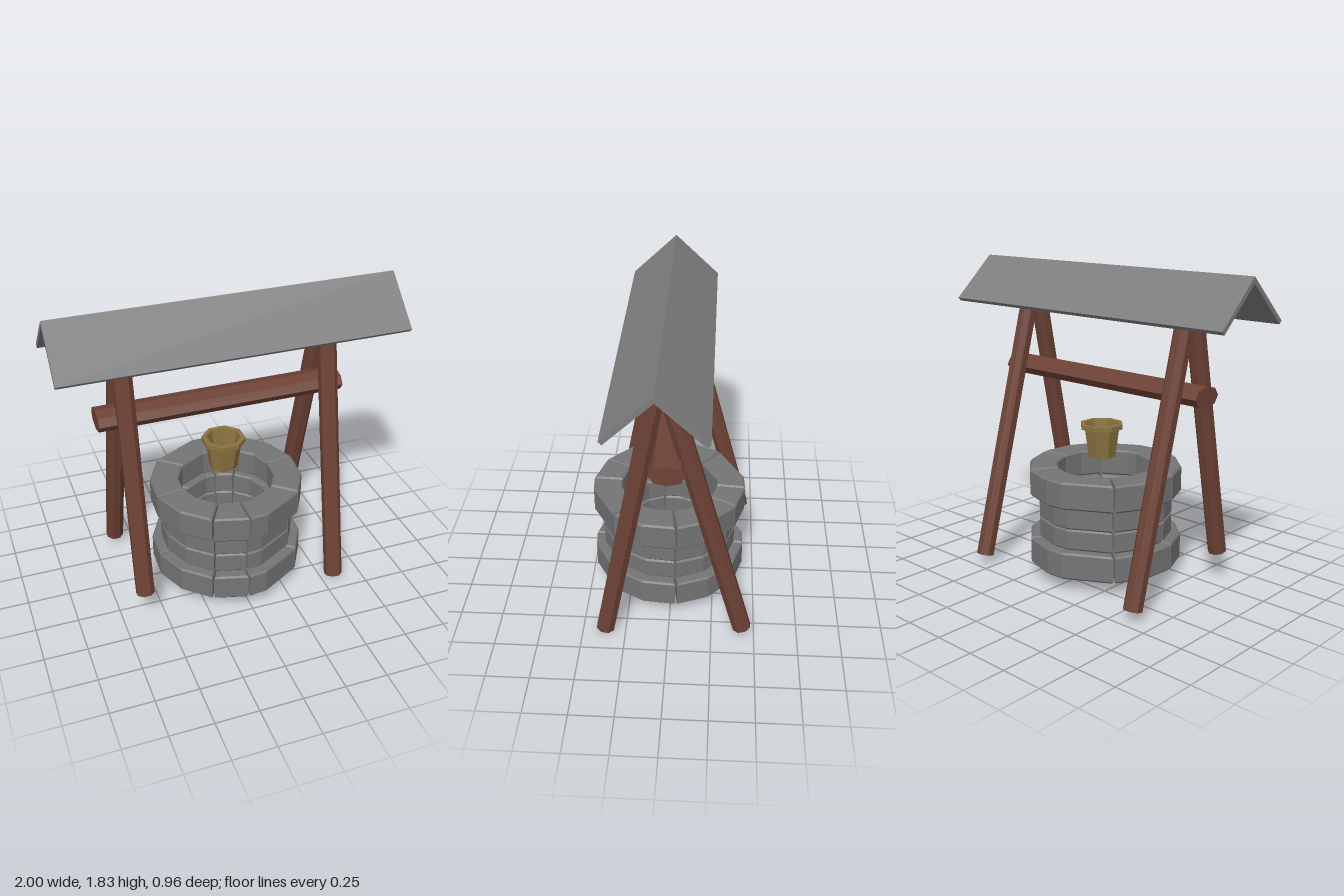
import * as THREE from 'three';

const flat = (name, color) => Object.assign(new THREE.MeshStandardMaterial({ color, flatShading: true }), { name });
const stone = flat('stone grey', 0x757575);
const roofGrey = flat('roof grey', 0x7e7e7e);
const wood = flat('red brown wood', 0x6e4236);
const bucketWood = flat('ochre wood', 0x8a7340);

function add(parent, name, geometry, material) {
  const mesh = new THREE.Mesh(geometry, material);
  mesh.name = name;
  parent.add(mesh);
  return mesh;
}

// Eight-sided log between two points
function log(parent, name, from, to, radius) {
  const a = new THREE.Vector3(...from), b = new THREE.Vector3(...to);
  const dir = b.clone().sub(a);
  const geometry = new THREE.CylinderGeometry(radius, radius, dir.length(), 8).rotateY(Math.PI / 8);
  const mesh = add(parent, name, geometry, wood);
  mesh.position.copy(a).add(b).multiplyScalar(0.5);
  mesh.quaternion.setFromUnitVectors(new THREE.Vector3(0, 1, 0), dir.normalize());
  return mesh;
}

// Bevelled block spanning the given angles (degrees from +z towards +x)
function blockGeometry(angles, inner, outer, height) {
  const at = (r, deg) => {
    const t = THREE.MathUtils.degToRad(deg);
    return new THREE.Vector2(r * Math.sin(t), -r * Math.cos(t));
  };
  const points = [...angles.map(d => at(outer, d)), ...[...angles].reverse().map(d => at(inner, d))];
  const bevel = 0.01;
  const geometry = new THREE.ExtrudeGeometry(new THREE.Shape(points), {
    depth: height - 2 * bevel, bevelThickness: bevel, bevelSize: bevel, bevelOffset: -bevel, bevelSegments: 1,
  });
  return geometry.translate(0, 0, bevel).rotateX(-Math.PI / 2);
}

export function createModel() {
  const model = new THREE.Group();
  model.name = 'well';

  // Stone wall: four rings of eight uneven blocks, wider at base and rim
  const blocks = [[-29, -2], [-2, 12, 48], [48, 73, 98], [98, 123, 150],
    [150, 175], [175, 190, 229], [229, 255, 280], [280, 305, 331]];
  const rings = [
    ['baseRing', 0.08, 0.24, 1], ['lowerRing', 0.24, 0.365, 0.88],
    ['upperRing', 0.365, 0.5, 0.88], ['rimRing', 0.5, 0.66, 1],
  ];
  for (const [name, bottom, top, scale] of rings) {
    const ring = new THREE.Group();
    ring.name = name;
    ring.position.set(0, bottom, 0.025);
    for (const angles of blocks) {
      const gapped = angles.map((d, i) => d + (i === 0 ? 0.6 : i === angles.length - 1 ? -0.6 : 0));
      add(ring, 'stoneBlock', blockGeometry(gapped, 0.285 * scale, 0.456 * scale, top - bottom), stone);
    }
    model.add(ring);
  }

  // A-frame legs with uneven feet
  const legs = [
    ['leftFrontLeg', 0.585, 0.012, 0.37], ['leftBackLeg', 0.585, 0.055, -0.428],
    ['rightFrontLeg', -0.61, 0.175, 0.339], ['rightBackLeg', -0.61, 0.06, -0.422],
  ];
  for (const [name, x, y, z] of legs) log(model, name, [x, y, z], [x, 1.755, 0.033], 0.055);

  // Ridge beam and flattened cross beam
  log(model, 'ridgeBeam', [-0.82, 1.735, 0.018], [0.77, 1.735, 0.018], 0.057);
  const cross = log(model, 'crossBeam', [-0.755, 1.181, -0.003], [0.7, 1.186, -0.003], 0.1);
  cross.geometry.rotateY(Math.PI / 8).scale(0.6, 1, 1);

  // Roof: two thin slabs meeting at the ridge
  const ridge = { y: 1.832, z: 0.036 };
  const length = 0.363, thickness = 0.026, pitch = Math.PI / 4 - 0.03;
  for (const side of [1, -1]) {
    const slab = new THREE.BoxGeometry(2, thickness, length).translate(0, -thickness / 2, side * length / 2);
    const mesh = add(model, side > 0 ? 'frontRoof' : 'backRoof', slab, roofGrey);
    mesh.rotation.x = side * pitch;
    mesh.position.set(0, ridge.y, ridge.z);
  }

  // Hollow eight-sided bucket with a raised rim
  const profile = [[0, 0.715], [0.085, 0.715], [0.108, 0.885], [0.13, 0.885], [0.13, 0.912],
    [0.102, 0.912], [0.075, 0.735], [0, 0.735]].map(p => new THREE.Vector2(...p));
  const bucket = add(model, 'bucket', new THREE.LatheGeometry(profile, 8, Math.PI / 8), bucketWood);
  bucket.position.set(-0.004, 0, -0.006);

  return model;
}
